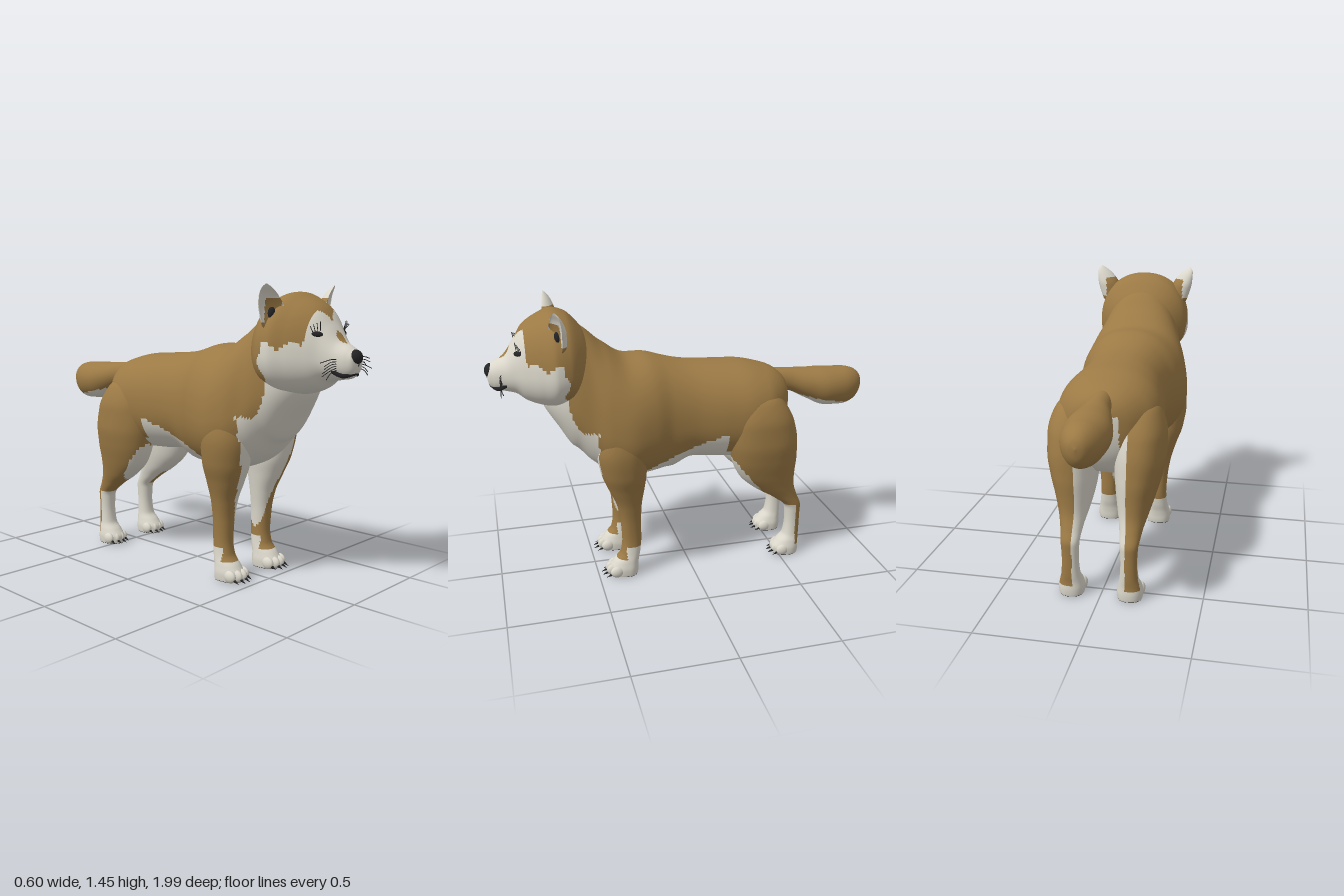
import * as THREE from 'three';

const fur = new THREE.MeshStandardMaterial({ color: 0x9c7a45 });
fur.name = 'tan fur';
const cream = new THREE.MeshStandardMaterial({ color: 0xdad6ca });
cream.name = 'cream fur';
const black = new THREE.MeshStandardMaterial({ color: 0x242426 });
black.name = 'black';
const MATERIALS = [fur, cream, black];
const FUR = 0, CREAM = 1, BLACK = 2;

// Smooth interpolation of one column of the section table, without overshoot
function sample(rows, col, t) {
  const last = rows.length - 1;
  const i = Math.min(Math.floor(t), last - 1), f = t - i;
  const delta = (k) => rows[k + 1][col] - rows[k][col];
  const slope = (k) => {
    if (k === 0) return delta(0);
    if (k === last) return delta(last - 1);
    const a = delta(k - 1), b = delta(k);
    return a * b <= 0 ? 0 : (2 * a * b) / (a + b);
  };
  const f2 = f * f, f3 = f2 * f;
  return rows[i][col] * (2 * f3 - 3 * f2 + 1) + slope(i) * (f3 - 2 * f2 + f)
    + rows[i + 1][col] * (3 * f2 - 2 * f3) + slope(i + 1) * (f3 - f2);
}

// Loft through rounded sections [x, y, z, halfWidth, plus, minus].
// axis 'y': upright rings running toward +z; axis 'z': level rings running down.
// paint(x, y, z) picks the colour of each quad, with x mirrored to the left side.
function loft(name, rows, axis, paint, { sides = 48, steps = 7, power = 2.2 } = {}) {
  const rings = (rows.length - 1) * steps, pos = [], faces = [[], [], []];
  const round = (v) => Math.sign(v) * Math.abs(v) ** (2 / power);
  for (let i = 0; i <= rings; i++) {
    const [x, y, z, w, plus, minus] = [0, 1, 2, 3, 4, 5].map((c) => sample(rows, c, i / steps));
    for (let j = 0; j < sides; j++) {
      const a = (j / sides) * Math.PI * 2, s = round(Math.sin(a));
      const v = s * (s > 0 ? plus : minus);
      pos.push(x + round(Math.cos(a)) * w, axis === 'y' ? y + v : y, axis === 'z' ? z + v : z);
    }
  }
  for (let i = 0; i < rings; i++) for (let j = 0; j < sides; j++) {
    const k = (j + 1) % sides;
    const a = i * sides + j, b = i * sides + k, c = a + sides, d = b + sides;
    const mid = (n) => (pos[a * 3 + n] + pos[b * 3 + n] + pos[c * 3 + n] + pos[d * 3 + n]) / 4;
    faces[paint(Math.abs(mid(0)), mid(1), mid(2))].push(a, b, c, b, d, c);
  }
  const geo = new THREE.BufferGeometry();
  geo.setAttribute('position', new THREE.Float32BufferAttribute(pos, 3));
  geo.setIndex(faces.flat());
  let start = 0;
  faces.forEach((f, m) => {
    if (f.length) geo.addGroup(start, f.length, m);
    start += f.length;
  });
  geo.computeVertexNormals();
  const mesh = new THREE.Mesh(geo, MATERIALS);
  mesh.name = name;
  return mesh;
}

function ball(name, mat, p, r) {
  const mesh = new THREE.Mesh(new THREE.SphereGeometry(1, 20, 14), mat);
  mesh.name = name;
  mesh.position.set(...p);
  mesh.scale.set(...r);
  return mesh;
}

function strand(name, points, radius, segments = 6) {
  const curve = new THREE.CatmullRomCurve3(points.map((p) => new THREE.Vector3(...p)));
  const mesh = new THREE.Mesh(new THREE.TubeGeometry(curve, segments, radius, 6), black);
  mesh.name = name;
  return mesh;
}

// Edge of the cream chest and inner legs at height y
const innerEdge = (y) => (y > 0.84 ? 0.2 : 0.25 - (0.83 - y) * 0.24);

function paintTorso(x, y, z) {
  if (z > 0.43) return y < 0.38 + z && x < innerEdge(y) ? CREAM : FUR;
  if (z > 0.25) return y < 0.6 ? CREAM : FUR;
  if (z > -0.17) return y < 0.6 + (0.25 - z) * 0.41 ? CREAM : FUR;
  return y < 0.65 || (z < -0.45 && x < 0.09 && y < 0.92) ? CREAM : FUR;
}

function paintHead(x, y, z) {
  if (z > 0.8 && Math.hypot(x, y - 1.215) < 0.026) return FUR;
  const mask = Math.max(1.18 + 0.018 * Math.sin(z * 60), 1.33 - 14 * (x - 0.06) ** 2);
  return z > 0.62 + 0.012 * Math.sin(y * 50) && y < mask ? CREAM : FUR;
}

function paintForeleg(x, y, z) {
  if (y < 0.008) return BLACK;
  if (y < (z > 0.355 ? 0.1 : 0.17)) return CREAM;
  return x < innerEdge(y) - 0.005 ? CREAM : FUR;
}

function paintHindLeg(x, y, z) {
  if (y < 0.008) return BLACK;
  if (y < 0.06 || (x < 0.13 && y < 0.92)) return CREAM;
  if (y < 0.3) return z > -0.585 ? CREAM : FUR;
  return y > 0.38 && y < 0.72 && z > -0.17 - (0.67 - y) * 0.81 ? CREAM : FUR;
}

// Torso and neck: z, widest height, top, bottom, half width
const TORSO = [
  [-0.565, 0.89, 0.9, 0.88, 0], [-0.555, 0.89, 0.95, 0.8, 0.06], [-0.53, 0.88, 1.0, 0.72, 0.13],
  [-0.47, 0.86, 1.045, 0.63, 0.2], [-0.4, 0.85, 1.068, 0.59, 0.245], [-0.3, 0.84, 1.09, 0.58, 0.262],
  [-0.18, 0.84, 1.098, 0.585, 0.25], [-0.02, 0.84, 1.11, 0.6, 0.232], [0.1, 0.84, 1.135, 0.552, 0.242],
  [0.2, 0.83, 1.163, 0.542, 0.275], [0.32, 0.81, 1.17, 0.542, 0.298], [0.42, 0.83, 1.235, 0.575, 0.28],
  [0.5, 0.88, 1.305, 0.63, 0.243], [0.58, 0.97, 1.34, 0.71, 0.215], [0.66, 1.0, 1.25, 0.83, 0.17],
  [0.72, 1.02, 1.1, 0.93, 0.1], [0.75, 1.02, 1.02, 1.02, 0],
];
const HEAD = [
  [0.46, 1.14, 1.15, 1.13, 0], [0.49, 1.14, 1.27, 1.04, 0.13], [0.54, 1.14, 1.345, 0.985, 0.205],
  [0.6, 1.14, 1.4, 0.95, 0.248], [0.66, 1.14, 1.415, 0.94, 0.255], [0.73, 1.135, 1.39, 0.95, 0.215],
  [0.8, 1.13, 1.345, 0.975, 0.16], [0.85, 1.12, 1.27, 1.012, 0.118], [0.9, 1.11, 1.2, 1.025, 0.088],
  [0.95, 1.105, 1.172, 1.035, 0.062], [0.975, 1.11, 1.15, 1.06, 0.04], [0.985, 1.11, 1.11, 1.11, 0],
];
const TAIL = [
  [-1, 0.92, 0.92, 0.92, 0], [-0.99, 0.92, 0.957, 0.87, 0.032], [-0.95, 0.915, 0.995, 0.82, 0.07],
  [-0.88, 0.91, 1.01, 0.8, 0.098], [-0.78, 0.915, 1.016, 0.806, 0.11], [-0.68, 0.935, 1.018, 0.85, 0.09],
  [-0.58, 0.96, 1.025, 0.9, 0.06], [-0.5, 0.98, 1.03, 0.92, 0.05], [-0.42, 0.99, 1.03, 0.95, 0.04],
];
const upright = (rows) => rows.map(([z, y, top, bottom, w]) => [0, y, z, w, top - y, y - bottom]);

// Legs: y, x, z, half width, reach forward, reach back
const FORELEG = [
  [0.95, 0.15, 0.36, 0, 0, 0], [0.86, 0.165, 0.36, 0.1, 0.1, 0.1], [0.72, 0.175, 0.36, 0.118, 0.13, 0.12],
  [0.6, 0.165, 0.35, 0.112, 0.122, 0.11], [0.5, 0.155, 0.34, 0.088, 0.095, 0.09],
  [0.4, 0.148, 0.33, 0.066, 0.063, 0.065], [0.3, 0.146, 0.325, 0.052, 0.05, 0.055],
  [0.2, 0.145, 0.32, 0.047, 0.05, 0.05], [0.13, 0.145, 0.325, 0.052, 0.055, 0.048],
  [0.08, 0.146, 0.34, 0.06, 0.08, 0.053], [0.04, 0.146, 0.345, 0.066, 0.098, 0.055],
  [0.004, 0.146, 0.345, 0.062, 0.095, 0.05], [0, 0.146, 0.345, 0, 0, 0],
];
const HIND_LEG = [
  [0.99, 0.13, -0.36, 0, 0, 0], [0.92, 0.15, -0.36, 0.1, 0.13, 0.12], [0.8, 0.165, -0.37, 0.125, 0.17, 0.178],
  [0.7, 0.165, -0.38, 0.126, 0.18, 0.19], [0.6, 0.16, -0.39, 0.115, 0.17, 0.185],
  [0.5, 0.152, -0.42, 0.095, 0.155, 0.152], [0.42, 0.148, -0.47, 0.074, 0.12, 0.105],
  [0.35, 0.146, -0.535, 0.055, 0.075, 0.062], [0.28, 0.145, -0.58, 0.045, 0.045, 0.042],
  [0.2, 0.145, -0.58, 0.041, 0.04, 0.04], [0.12, 0.145, -0.575, 0.046, 0.045, 0.043],
  [0.08, 0.146, -0.565, 0.056, 0.07, 0.05], [0.04, 0.146, -0.555, 0.064, 0.088, 0.062],
  [0.004, 0.146, -0.555, 0.06, 0.085, 0.058], [0, 0.146, -0.555, 0, 0, 0],
];
// Cupped ear, from its tip down, relative to its root
const EAR = [
  [0.25, 0.05, 0.035, 0, 0, 0], [0.235, 0.045, 0.03, 0.022, -0.002, 0.014],
  [0.2, 0.03, 0.018, 0.046, -0.008, 0.03], [0.14, 0.01, 0.01, 0.062, -0.014, 0.05],
  [0.07, -0.005, 0, 0.056, -0.005, 0.05], [0, -0.02, -0.01, 0.01, 0, 0.01],
];
const mirrored = (rows, side) => rows.map(([y, x, z, ...r]) => [x * side, y, z, ...r]);

function leg(name, rows, paint, side, pawZ) {
  const group = new THREE.Group();
  group.name = name;
  group.add(loft('limb', mirrored(rows, side), 'z', paint));
  // Four toes, each with a claw
  [-0.049, -0.017, 0.017, 0.049].forEach((dx) => {
    const x = side * 0.146 + dx, z = pawZ - Math.abs(dx) * 0.5;
    group.add(ball('toe', cream, [x, 0.035, z], [0.02, 0.031, 0.035]));
    const claw = new THREE.Mesh(new THREE.ConeGeometry(0.009, 0.04, 8), black);
    claw.name = 'claw';
    claw.position.set(x, 0.018, z + 0.04);
    claw.rotation.x = Math.PI / 2 + 0.4;
    group.add(claw);
  });
  return group;
}

export function createModel() {
  const dog = new THREE.Group();
  dog.name = 'dog';
  dog.add(loft('torso', upright(TORSO), 'y', paintTorso, { sides: 96 }));
  dog.add(loft('head', upright(HEAD), 'y', paintHead, { sides: 112, steps: 9 }));
  dog.add(loft('tail', upright(TAIL), 'y', (x, y, z) => (y < 0.9 + (z + 0.55) * 0.22 ? CREAM : FUR), { power: 2 }));

  // Nose and mouth
  dog.add(ball('nose', black, [0, 1.128, 0.962], [0.043, 0.036, 0.032]));
  dog.add(strand('mouth', [[-0.077, 1.078, 0.88], [-0.055, 1.05, 0.935], [0, 1.06, 0.965],
    [0.055, 1.05, 0.935], [0.077, 1.078, 0.88]], 0.011, 24));
  dog.add(strand('lipLine', [[0, 1.11, 0.982], [0, 1.06, 0.968]], 0.006));

  for (const s of [1, -1]) {
    const label = s > 0 ? 'left' : 'right';
    dog.add(leg(label + 'Foreleg', FORELEG, paintForeleg, s, 0.435));
    dog.add(leg(label + 'HindLeg', HIND_LEG, paintHindLeg, s, -0.49));

    // Ear with its dark opening
    const ear = new THREE.Group();
    ear.name = label + 'Ear';
    ear.add(loft('earShell', mirrored(EAR, s), 'z', (x, y) => (y > 0.185 || (x > 0.04 && y > 0.08) ? CREAM : FUR), { power: 2 }));
    ear.add(ball('earOpening', black, [s * 0.005, 0.12, -0.003], [0.019, 0.028, 0.012]));
    ear.position.set(s * 0.2, 1.2, 0.66);
    ear.rotation.y = s * 0.45;
    dog.add(ear);

    // Eye and lashes
    const eye = ball(label + 'Eye', black, [s * 0.098, 1.227, 0.828], [0.033, 0.016, 0.018]);
    eye.rotation.set(0, s * 0.6, s * 0.12);
    dog.add(eye);
    for (let i = 0; i < 4; i++) {
      const x = 0.088 + i * 0.011;
      dog.add(strand('lash', [[s * x, 1.24, 0.838 - i * 0.006],
        [s * (x + 0.012 + i * 0.006), 1.285 - i * 0.006, 0.845 - i * 0.006]], 0.0016));
    }
    // Whiskers
    for (let i = 0; i < 6; i++) {
      const y = 1.12 - i * 0.009;
      dog.add(strand('whisker', [[s * 0.066, y, 0.915], [s * 0.13, y + 0.004 - i * 0.003, 0.925],
        [s * (0.195 - (i % 3) * 0.015), y - 0.008 - i * 0.006, 0.915 + (i % 2) * 0.012]], 0.0018));
    }
  }
  return dog;
}
